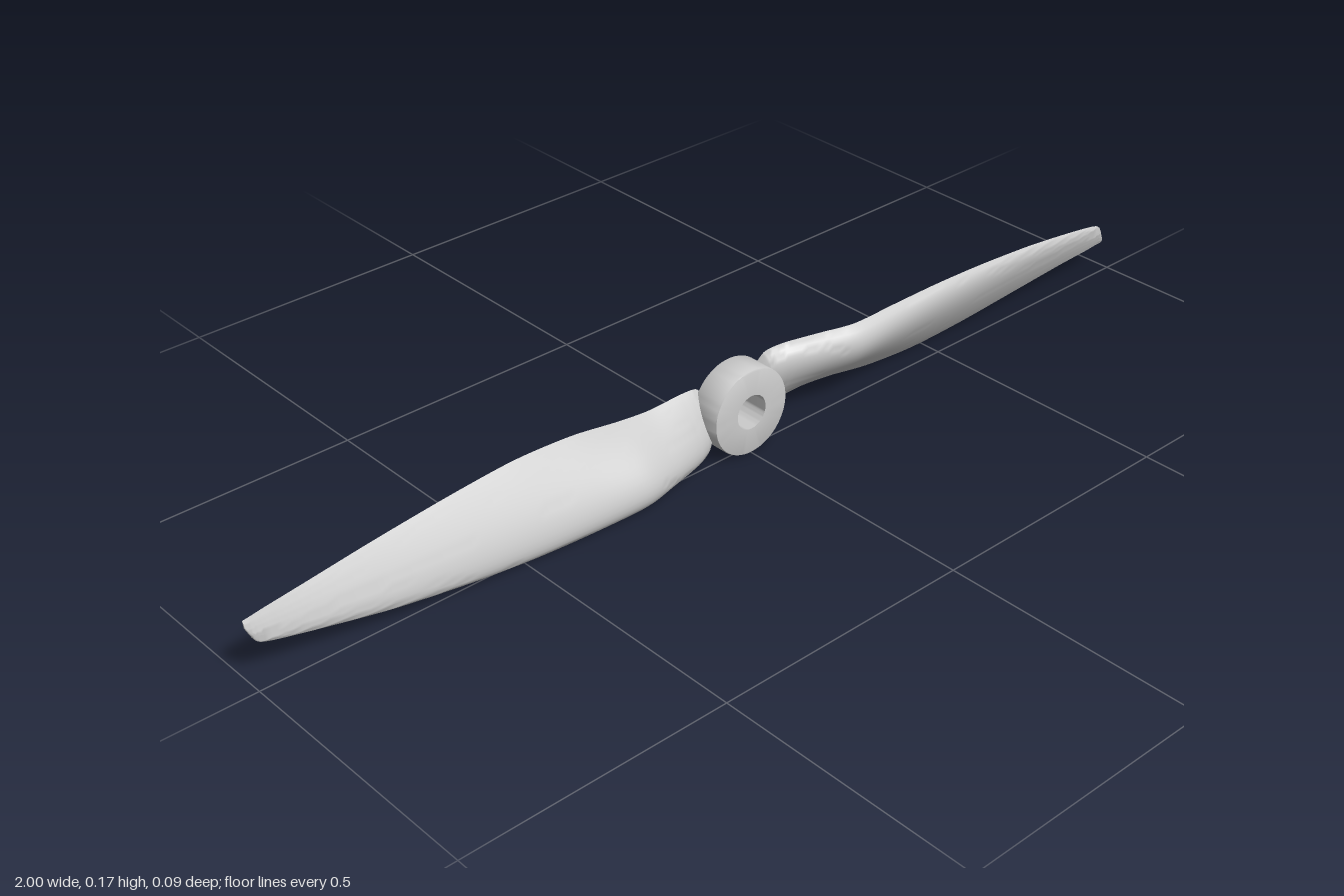
import * as THREE from 'three';
import { toCreasedNormals } from 'three/addons/utils/BufferGeometryUtils.js';

const HUB_Y = 0.0836;

// Blade stations: x, leading edge y z, trailing edge y z, thickness
const STATIONS = [
  [0.06, 0.138, -0.035, 0.048, -0.045, 0.02],
  [0.075, 0.158, -0.028, 0.034, -0.046, 0.028],
  [0.11, 0.166, -0.017, 0.032, -0.047, 0.033],
  [0.18, 0.167, 0.002, 0.034, -0.047, 0.038],
  [0.25, 0.167, 0.02, 0.027, -0.047, 0.04],
  [0.35, 0.167, 0.019, 0.011, -0.045, 0.034],
  [0.47, 0.164, 0.015, 0.004, -0.042, 0.028],
  [0.6, 0.155, 0.009, 0.01, -0.038, 0.022],
  [0.75, 0.138, 0, 0.023, -0.034, 0.015],
  [0.88, 0.116, -0.01, 0.036, -0.029, 0.01],
  [0.96, 0.1, -0.016, 0.043, -0.025, 0.007],
  [0.985, 0.089, -0.018, 0.046, -0.024, 0.005],
  [1.0, 0.06, -0.021, 0.047, -0.023, 0.003],
];

// Relative airfoil height along the chord, peak of 1
const airfoil = (t) =>
  10 * (0.2969 * Math.sqrt(t) - 0.126 * t - 0.3516 * t ** 2 + 0.2843 * t ** 3 - 0.1036 * t ** 4);

function bladeGeometry() {
  const curve = (fn) => new THREE.CatmullRomCurve3(
    STATIONS.map((s) => new THREE.Vector3(...fn(s))), false, 'catmullrom', 0.4);
  const leading = curve((s) => [s[0], s[1], s[2]]);
  const trailing = curve((s) => [s[0], s[3], s[4]]);
  const thickness = curve((s) => [s[0], s[5], 0]);

  const steps = 72, front = 20, back = 8, n = front + back;
  const pos = [], index = [];
  for (let k = 0; k <= steps; k++) {
    const u = k / steps;
    const a = leading.getPoint(u), b = trailing.getPoint(u), h = thickness.getPoint(u).y;
    const chord = b.clone().sub(a).normalize();
    for (let i = 0; i < n; i++) {
      // Curved front from leading to trailing edge, then the flat back
      const onFront = i <= front;
      const t = onFront ? (1 - Math.cos((Math.PI * i) / front)) / 2 : 1 - (i - front) / back;
      const lift = onFront ? Math.max(0, airfoil(t)) * h : 0;
      const p = a.clone().lerp(b, t);
      pos.push(p.x, p.y + chord.z * lift, p.z - chord.y * lift);
    }
  }
  for (let k = 0; k < steps; k++) {
    for (let i = 0; i < n; i++) {
      const a = k * n + i, b = k * n + ((i + 1) % n);
      index.push(a, b, a + n, b, b + n, a + n);
    }
  }
  // Root and tip caps
  const last = steps * n;
  for (let i = 1; i < n - 1; i++) {
    index.push(0, i + 1, i, last, last + i, last + i + 1);
  }
  const geo = new THREE.BufferGeometry();
  geo.setAttribute('position', new THREE.Float32BufferAttribute(pos, 3));
  geo.setIndex(index);
  geo.translate(0, -HUB_Y, 0);
  return toCreasedNormals(geo, 0.6);
}

function hubGeometry() {
  const R = 0.0836, r = 0.033, z0 = -0.044, z1 = 0.018, c = 0.004;
  const profile = [
    [r, z0], [R - c, z0], [R - c * 0.3, z0 + c * 0.3], [R, z0 + c],
    [R, z1 - c], [R - c * 0.3, z1 - c * 0.3], [R - c, z1], [r, z1], [r, z0],
  ].map(([x, y]) => new THREE.Vector2(x, y));
  const geo = new THREE.LatheGeometry(profile, 64);
  geo.rotateX(Math.PI / 2);
  return toCreasedNormals(geo, 0.6);
}

export function createModel() {
  const material = new THREE.MeshStandardMaterial({ color: 0xcccccc });
  const model = new THREE.Group();
  model.name = 'propeller';

  // Bored hub
  const hub = new THREE.Mesh(hubGeometry(), material);
  hub.name = 'hub';
  hub.position.y = HUB_Y;
  model.add(hub);

  // Two twisted blades, half a turn apart
  const geo = bladeGeometry();
  ['leftBlade', 'rightBlade'].forEach((name, i) => {
    const blade = new THREE.Mesh(geo, material);
    blade.name = name;
    blade.position.y = HUB_Y;
    blade.rotation.z = i * Math.PI;
    model.add(blade);
  });
  return model;
}
